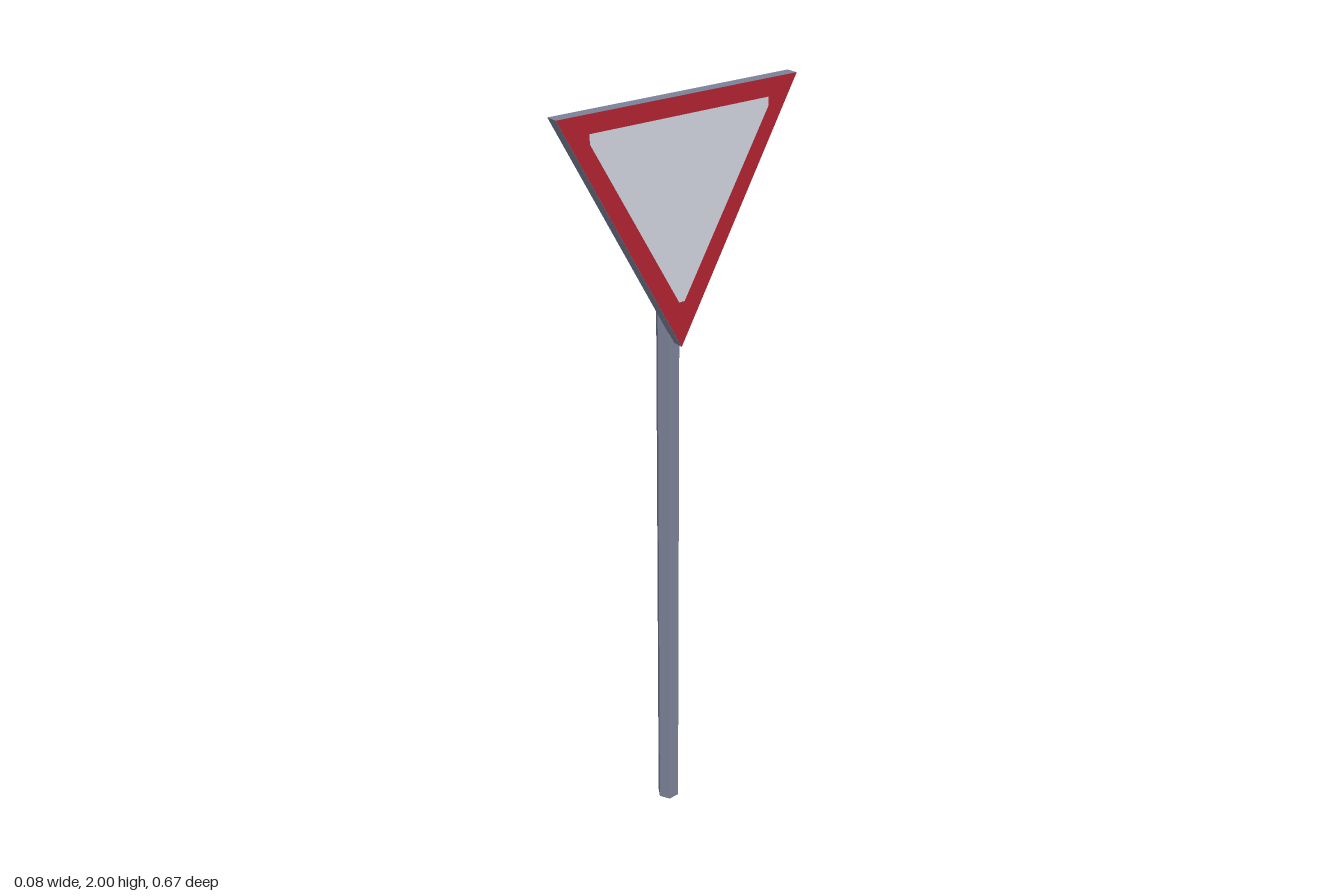
import * as THREE from 'three';

const grey = new THREE.MeshStandardMaterial({ name: 'metalGrey', color: 0x7b8298, flatShading: true });
const red = new THREE.MeshStandardMaterial({ name: 'signRed', color: 0xb0222f });
const white = new THREE.MeshStandardMaterial({ name: 'signWhite', color: 0xcfd2dc });

const points = (list) => list.map(([x, y]) => new THREE.Vector2(x, y));

// Outlines as seen when facing the sign (horizontal, height)
const outer = points([[0, 1.4], [0.334, 2], [-0.334, 2]]);
const inner = points([[-0.008, 1.515], [0.008, 1.515], [0.25, 1.935], [0.25, 1.957], [-0.25, 1.957], [-0.25, 1.935]]);

export function createModel() {
  const group = new THREE.Group();
  const add = (name, geometry, material, x, y = 0) => {
    const mesh = new THREE.Mesh(geometry, material);
    mesh.name = name;
    mesh.position.set(x, y, 0);
    group.add(mesh);
  };

  // Hexagonal post
  add('post', new THREE.CylinderGeometry(0.03, 0.03, 1.72, 6), grey, -0.015, 0.86);

  // Triangular plate, turned to face +x
  const plate = new THREE.ExtrudeGeometry(new THREE.Shape(outer), { depth: 0.031, bevelEnabled: false });
  add('signPlate', plate.rotateY(Math.PI / 2), grey, 0.008);

  // Painted border and centre panel
  const border = new THREE.Shape(outer);
  border.holes.push(new THREE.Path(inner));
  add('signBorder', new THREE.ShapeGeometry(border).rotateY(Math.PI / 2), red, 0.04);
  add('signPanel', new THREE.ShapeGeometry(new THREE.Shape(inner)).rotateY(Math.PI / 2), white, 0.04);

  return group;
}
